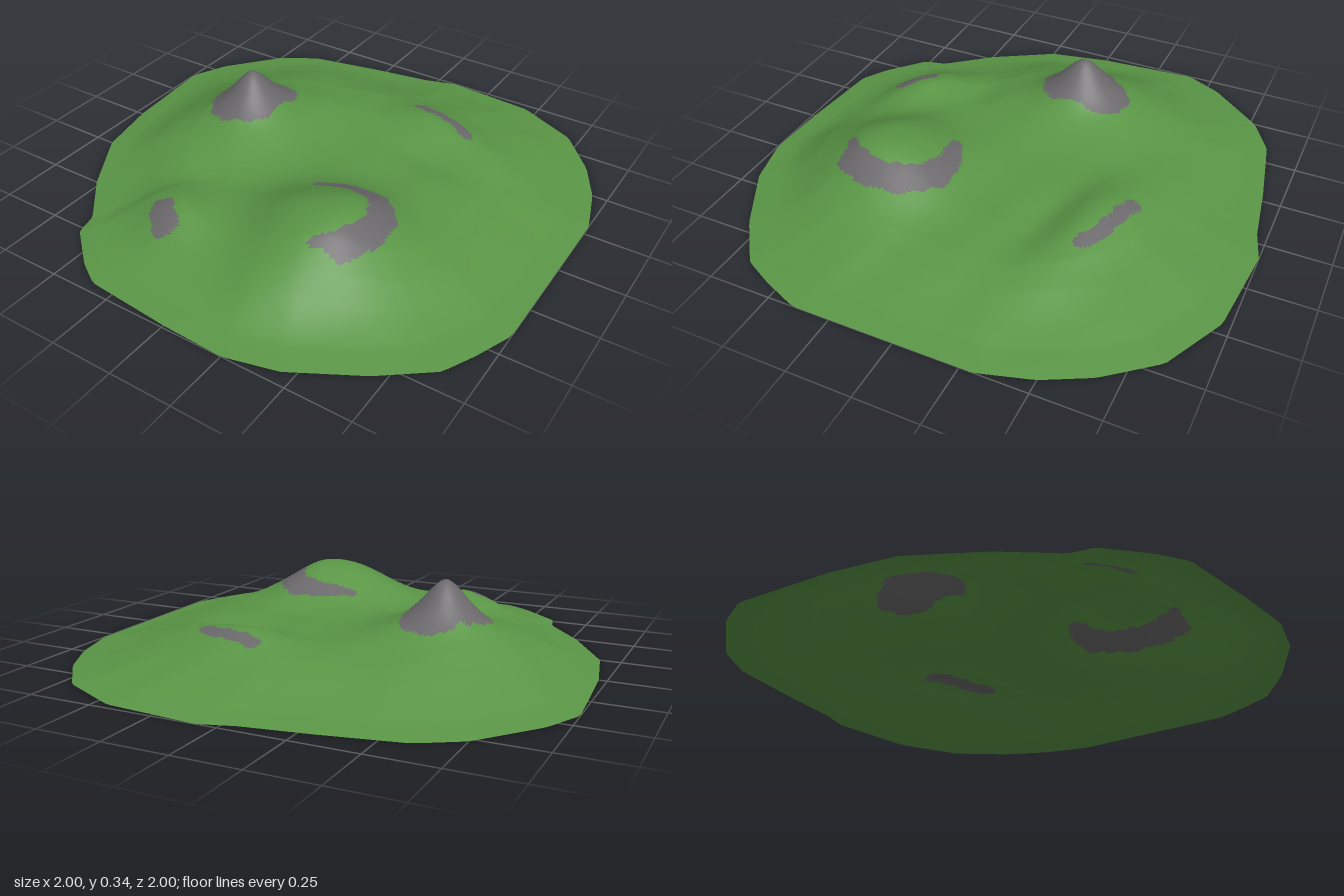
import * as THREE from 'three';

const RINGS = 80, SPOKES = 240;

// Shoreline corners (x, z), in order round the island
const SHORE = [
  [1, -0.3], [1, 0.4], [0.94, 0.55], [0.88, 0.67], [0.7, 0.81], [0.45, 0.95], [0.25, 1], [0, 0.99],
  [-0.35, 0.96], [-0.45, 0.9], [-0.6, 0.77], [-0.62, 0.68], [-0.77, 0.5], [-0.92, 0.25], [-0.97, 0],
  [-1, -0.4], [-0.93, -0.55], [-0.75, -0.77], [-0.6, -0.86], [-0.3, -0.92], [-0.05, -0.96],
  [0.08, -1], [0.45, -0.97], [0.7, -0.85], [0.85, -0.67], [0.94, -0.5],
];
// Height of the bare island from centre (0) to shore (1)
const SLOPE = [[0, 0.11], [0.4, 0.11], [0.6, 0.096], [0.7, 0.075], [0.8, 0.045], [0.9, 0.018], [1, 0]];
// Hills and hollows: centre x, z, radius x, z, height, falloff power, turn
const BUMPS = [
  [-0.42, -0.1, 0.28, 0.3, 0.1, 2, 0],
  [-0.42, -0.1, 0.105, 0.115, 0.13, 1.7, 0],
  [0.28, 0.42, 0.27, 0.27, 0.14, 2.5, 0],
  [0.35, 0.42, 0.1, 0.13, 0.014, 2, 0],
  [0.25, 0.75, 0.24, 0.13, 0.025, 2, 0],
  [0.25, -0.43, 0.28, 0.14, 0.055, 2, 0.25],
  [0.33, -0.25, 0.2, 0.09, -0.022, 2, 0.25],
  [-0.27, 0.58, 0.17, 0.13, 0.052, 2, 0.6],
  [-0.32, 0.33, 0.15, 0.1, -0.02, 2, 0],
];
// Bare rock: strips of [x, z, half width]
const ROCKS = {
  peakRock: [[-0.4, -0.18, 0.12], [-0.43, -0.08, 0.155], [-0.42, -0.03, 0.1]],
  hillCliff: [[0.12, 0.22, 0.02], [0.22, 0.185, 0.04], [0.34, 0.19, 0.05], [0.43, 0.27, 0.05],
    [0.455, 0.4, 0.048], [0.41, 0.52, 0.045], [0.31, 0.57, 0.012]],
  ridgeCliff: [[0.15, -0.525, 0.03], [0.28, -0.49, 0.027], [0.36, -0.465, 0.03], [0.42, -0.42, 0.025]],
  smallRock: [[-0.33, 0.6, 0.05], [-0.25, 0.67, 0.047]],
};

// Distance from the centre to the shore along an angle
function shoreRadius(a) {
  const c = Math.cos(a), s = Math.sin(a);
  for (let i = 0; i < SHORE.length; i++) {
    const [px, pz] = SHORE[i], [qx, qz] = SHORE[(i + 1) % SHORE.length];
    const dx = qx - px, dz = qz - pz, den = c * dz - s * dx;
    const r = (px * dz - pz * dx) / den, u = (px * s - pz * c) / den;
    if (r > 0 && u >= -1e-6 && u <= 1 + 1e-6) return r;
  }
  return 1;
}

function baseHeight(t) {
  const i = Math.max(1, SLOPE.findIndex((p) => p[0] >= t - 1e-9));
  const [a, ha] = SLOPE[i - 1], [b, hb] = SLOPE[i];
  return ha + (hb - ha) * (t - a) / (b - a);
}

function height(x, z, t) {
  let y = baseHeight(Math.min(t, 1));
  const fade = 1 - THREE.MathUtils.smoothstep(t, 0.75, 1);
  for (const [cx, cz, rx, rz, h, power, turn] of BUMPS) {
    const c = Math.cos(turn), s = Math.sin(turn), dx = x - cx, dz = z - cz;
    const d = Math.hypot((dx * c + dz * s) / rx, (dz * c - dx * s) / rz);
    y += h * fade * Math.exp(-(d ** power));
  }
  // Gentle unevenness
  return y + 0.002 * fade * (Math.sin(17 * x + 5 * z) + Math.sin(19 * z - 7 * x));
}

// True where a point lies on a tapering strip, with a slightly ragged border
function onStrip(strip, x, z) {
  const ragged = 0.004 * Math.sin(60 * x + 35 * z) + 0.003 * Math.sin(80 * z - 30 * x);
  for (let i = 1; i < strip.length; i++) {
    const [ax, az, aw] = strip[i - 1], [bx, bz, bw] = strip[i];
    const dx = bx - ax, dz = bz - az;
    const u = THREE.MathUtils.clamp(((x - ax) * dx + (z - az) * dz) / (dx * dx + dz * dz), 0, 1);
    if (Math.hypot(x - ax - u * dx, z - az - u * dz) < aw + (bw - aw) * u + ragged) return true;
  }
  return false;
}

export function createModel() {
  const grass = new THREE.MeshStandardMaterial({ color: 0x5a9646, side: THREE.DoubleSide });
  grass.name = 'grass green';
  const stone = new THREE.MeshStandardMaterial({ color: 0x6b696b, side: THREE.DoubleSide });
  stone.name = 'stone grey';

  // Terrain points on rings from the centre to the shore
  const pos = [0, height(0, 0, 0), 0];
  for (let r = 1; r <= RINGS; r++) {
    for (let s = 0; s < SPOKES; s++) {
      const a = s / SPOKES * Math.PI * 2, t = r / RINGS, d = t * shoreRadius(a);
      const x = d * Math.cos(a), z = d * Math.sin(a);
      pos.push(x, height(x, z, t), z);
    }
  }

  // Sort each triangle into grass or one of the rocks
  const faces = { grassland: [] };
  for (const name in ROCKS) faces[name] = [];
  const all = [];
  const addFace = (...ids) => {
    const mid = (k) => ids.reduce((sum, i) => sum + pos[i * 3 + k], 0) / 3;
    const rock = Object.keys(ROCKS).find((name) => onStrip(ROCKS[name], mid(0), mid(2)));
    faces[rock || 'grassland'].push(...ids);
    all.push(...ids);
  };
  const id = (r, s) => (r === 0 ? 0 : 1 + (r - 1) * SPOKES + s % SPOKES);
  for (let r = 0; r < RINGS; r++) {
    for (let s = 0; s < SPOKES; s++) {
      addFace(id(r, s), id(r + 1, s + 1), id(r + 1, s));
      if (r > 0) addFace(id(r, s), id(r, s + 1), id(r + 1, s + 1));
    }
  }

  // Shared points and normals keep the ground smooth across the parts
  const ground = new THREE.BufferGeometry();
  ground.setAttribute('position', new THREE.Float32BufferAttribute(pos, 3));
  ground.setIndex(all);
  ground.computeVertexNormals();

  const group = new THREE.Group();
  group.name = 'island';
  for (const name in faces) {
    const part = new THREE.BufferGeometry();
    part.setAttribute('position', ground.getAttribute('position'));
    part.setAttribute('normal', ground.getAttribute('normal'));
    part.setIndex(faces[name]);
    const mesh = new THREE.Mesh(part, name === 'grassland' ? grass : stone);
    mesh.name = name;
    group.add(mesh);
  }
  return group;
}
